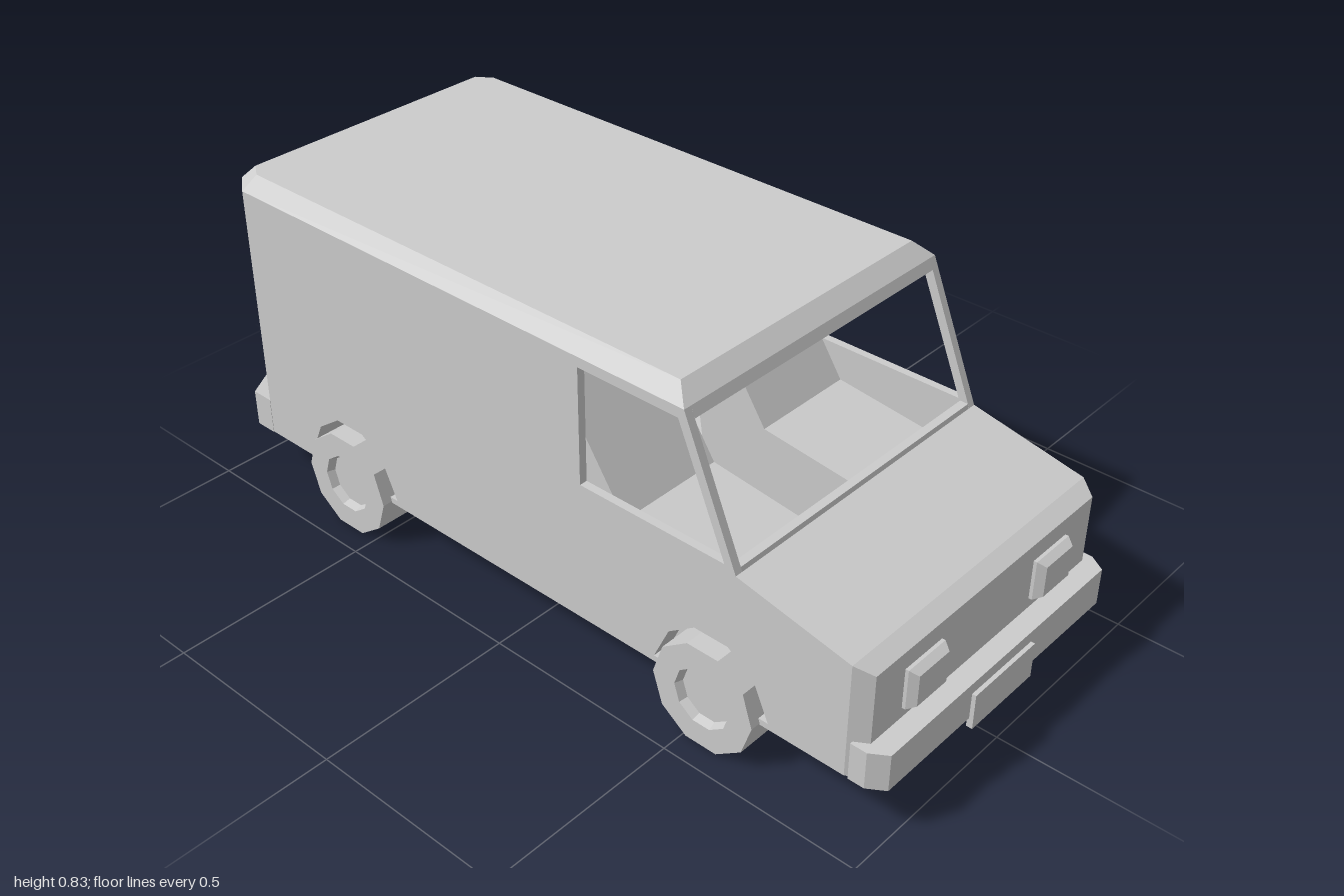
import * as THREE from 'three';

const mat = new THREE.MeshStandardMaterial({ color: 0xcccccc, flatShading: true, side: THREE.DoubleSide });

function add(parent, name, geometry) {
  const mesh = new THREE.Mesh(geometry, mat);
  mesh.name = name;
  parent.add(mesh);
  return mesh;
}

// Skin between matching rings of [x, y, z] points, with optional convex end caps
function loft(rings, capStart = true, capEnd = true) {
  const pos = [];
  const tri = (a, b, c) => pos.push(...a, ...b, ...c);
  const n = rings[0].length;
  for (let r = 0; r < rings.length - 1; r++) {
    for (let i = 0; i < n; i++) {
      const j = (i + 1) % n, a = rings[r], b = rings[r + 1];
      tri(a[i], a[j], b[j]);
      tri(a[i], b[j], b[i]);
    }
  }
  const last = rings[rings.length - 1];
  for (let i = 1; i < n - 1; i++) {
    if (capStart) tri(rings[0][0], rings[0][i + 1], rings[0][i]);
    if (capEnd) tri(last[0], last[i], last[i + 1]);
  }
  const g = new THREE.BufferGeometry();
  g.setAttribute('position', new THREE.Float32BufferAttribute(pos, 3));
  g.computeVertexNormals();
  return g;
}

// Flat four-cornered panels
function panels(quads) {
  const pos = quads.flatMap(([a, b, c, d]) => [...a, ...b, ...c, ...a, ...c, ...d]);
  const g = new THREE.BufferGeometry();
  g.setAttribute('position', new THREE.Float32BufferAttribute(pos, 3));
  g.computeVertexNormals();
  return g;
}

const shapeOf = pts => new THREE.Shape(pts.map(p => new THREE.Vector2(...p)));

// Extrude a [z, y] outline across x, from x0 to x1
function acrossX(shape, x0, x1) {
  const g = new THREE.ExtrudeGeometry(shape, { depth: x1 - x0, bevelEnabled: false });
  return g.rotateY(-Math.PI / 2).translate(x1, 0, 0);
}

// Left-right symmetric plan ring at height y, from half of its [x, z] corners running front to back
function plan(half, y) {
  const left = half.map(([x, z]) => [x, y, z]);
  const right = half.map(([x, z]) => [-x, y, z]).reverse();
  return [...left, ...right];
}

function box(x0, x1, y0, y1, z0, z1) {
  return new THREE.BoxGeometry(x1 - x0, y1 - y0, z1 - z0)
    .translate((x0 + x1) / 2, (y0 + y1) / 2, (z0 + z1) / 2);
}

export function createModel() {
  const van = new THREE.Group();
  van.name = 'van';
  const W = 0.415, base = 0.125, axles = [0.55, -0.585];
  const arch = [[0.163, 0.125], [0.115, 0.23], [0.045, 0.28], [-0.045, 0.28], [-0.115, 0.23], [-0.163, 0.125]];
  const archAt = c => arch.map(([z, y]) => [z + c, y]);

  // Side walls with wheel arches and an open cab window
  const side = shapeOf([
    [0.90, base], ...archAt(axles[0]), ...archAt(axles[1]), [-0.90, base],
    [-0.90, 0.80], [0.47, 0.80], [0.61, 0.47], [0.90, 0.41],
  ]);
  side.holes.push(new THREE.Path(
    [[0.185, 0.485], [0.58, 0.485], [0.455, 0.775], [0.185, 0.775]].map(p => new THREE.Vector2(...p))));
  add(van, 'leftSide', acrossX(side, W - 0.02, W));
  add(van, 'rightSide', acrossX(side, -W, -W + 0.02));

  // Roof with a chamfer all round
  add(van, 'roof', loft([
    plan([[W, 0.47], [W, -0.90], [0.37, -0.96]], 0.80),
    plan([[0.38, 0.43], [0.38, -0.885], [0.352, -0.925]], 0.835),
  ]));

  // Floor
  add(van, 'floor', loft([base, 0.14].map(y =>
    plan([[0.39, 0.94], [W, 0.90], [W, -0.90], [0.37, -0.96]], y))));

  // Bonnet, nose and the chamfered corners
  add(van, 'nose', panels([
    [[-W, 0.41, 0.90], [W, 0.41, 0.90], [W, 0.47, 0.61], [-W, 0.47, 0.61]],
    [[-0.39, 0.39, 0.94], [0.39, 0.39, 0.94], [W, 0.41, 0.90], [-W, 0.41, 0.90]],
    [[-0.39, base, 0.94], [0.39, base, 0.94], [0.39, 0.39, 0.94], [-0.39, 0.39, 0.94]],
    [[0.39, base, 0.94], [W, base, 0.90], [W, 0.41, 0.90], [0.39, 0.39, 0.94]],
    [[-W, base, 0.90], [-0.39, base, 0.94], [-0.39, 0.39, 0.94], [-W, 0.41, 0.90]],
  ]));
  add(van, 'rearCorners', panels([
    [[W, base, -0.90], [0.37, base, -0.96], [0.37, 0.80, -0.96], [W, 0.80, -0.90]],
    [[-0.37, base, -0.96], [-W, base, -0.90], [-W, 0.80, -0.90], [-0.37, 0.80, -0.96]],
  ]));

  // Windscreen header and sill
  add(van, 'windscreenHeader', acrossX(
    shapeOf([[0.44, 0.80], [0.455, 0.775], [0.481, 0.775], [0.47, 0.80]]), -0.395, 0.395));
  add(van, 'windscreenSill', acrossX(
    shapeOf([[0.585, 0.46], [0.61, 0.465], [0.606, 0.48], [0.585, 0.48]]), -0.395, 0.395));

  // Rear frame with a recessed door
  const frame = shapeOf([[-0.37, base], [0.37, base], [0.37, 0.80], [-0.37, 0.80]]);
  frame.holes.push(new THREE.Path(
    [[-0.355, 0.235], [0.355, 0.235], [0.355, 0.785], [-0.355, 0.785]].map(p => new THREE.Vector2(...p))));
  add(van, 'rearFrame', new THREE.ExtrudeGeometry(frame, { depth: 0.025, bevelEnabled: false }).translate(0, 0, -0.96));
  add(van, 'rearDoor', box(-0.355, 0.355, 0.235, 0.785, -0.947, -0.937));

  // Bumpers and number plate
  add(van, 'frontBumper', loft([base - 0.001, 0.218].map(y =>
    plan([[0.39, 0.99], [W + 0.001, 0.95], [W + 0.001, 0.91]], y))));
  add(van, 'rearBumper', loft([base - 0.001, 0.22].map(y =>
    plan([[W + 0.001, -0.90], [W + 0.001, -0.96], [0.35, -1.0]], y))));
  add(van, 'numberPlate', box(-0.11, 0.11, 0.10, 0.19, 0.985, 1.0));

  // Headlights, tapering forward
  for (const s of [-1, 1]) {
    const ring = (hw, hh, z) => [[-hw, -hh], [hw, -hh], [hw, hh], [-hw, hh]]
      .map(([x, y]) => [s * 0.229 + x, 0.295 + y, z]);
    add(van, 'headlight', loft([ring(0.062, 0.05, 0.938), ring(0.062, 0.05, 0.948), ring(0.05, 0.039, 0.967)]));
  }

  // Seats: cushion and sloping back in one profile
  const seat = shapeOf([[0.60, 0.14], [0.60, 0.36], [0.26, 0.40], [0.08, 0.665], [0.02, 0.665], [0.10, 0.14]]);
  add(van, 'seat', acrossX(seat, -0.36, -0.07));
  add(van, 'seat', acrossX(seat, 0.105, 0.388));

  // Ten-sided wheels with recessed hubs, each in its own well
  const tyre = [[0, 0], [0.135, 0], [0.135, 0.145], [0.075, 0.145], [0.068, 0.125], [0, 0.125]]
    .map(p => new THREE.Vector2(...p));
  const wheelGeo = new THREE.LatheGeometry(tyre, 10);
  for (const z of axles) {
    for (const s of [-1, 1]) {
      const wheel = add(van, 'wheel', wheelGeo);
      wheel.rotation.z = -s * Math.PI / 2;
      wheel.position.set(s * 0.296, 0.1284, z);
      const ring = x => archAt(z).map(([pz, y]) => [s * x, y, pz]);
      add(van, 'wheelWell', loft([ring(0.288), ring(0.405)], true, false));
    }
  }
  return van;
}
